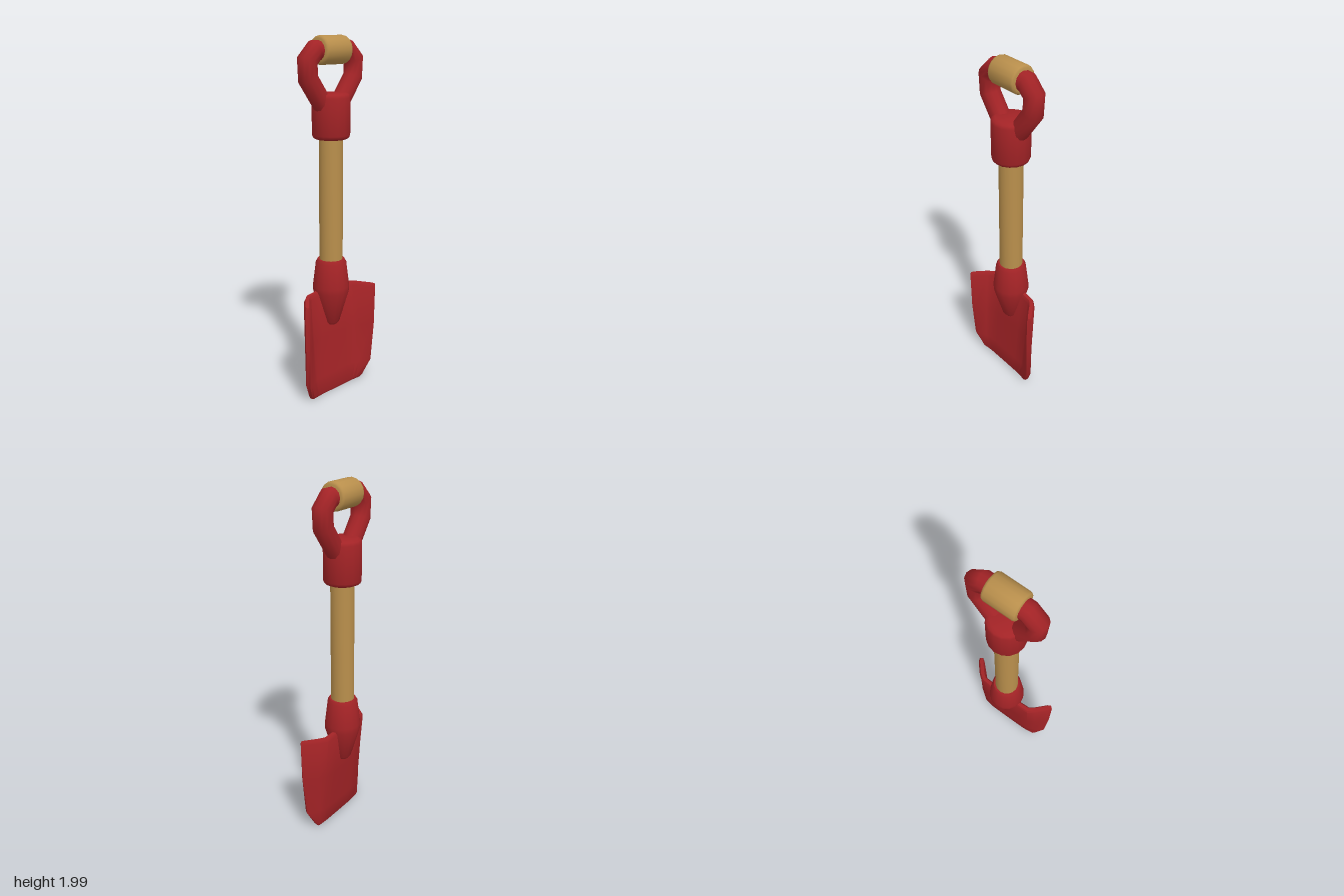
import * as THREE from 'three';
import { toCreasedNormals } from 'three/addons/utils/BufferGeometryUtils.js';

const AXIS_Z = -0.007;

// Skins a stack of closed rings; extra holds additional triangles such as caps.
function skin(rings, extra = []) {
  const n = rings[0].length, index = [];
  for (let j = 0; j < rings.length - 1; j++) {
    for (let k = 0; k < n; k++) {
      const a = j * n + k, b = j * n + (k + 1) % n;
      index.push(a, b, b + n, a, b + n, a + n);
    }
  }
  const geo = new THREE.BufferGeometry();
  geo.setAttribute('position', new THREE.Float32BufferAttribute(rings.flat(2), 3));
  geo.setIndex([...index, ...extra]);
  geo.computeVertexNormals();
  return geo;
}

// Turned part from [radius, height] pairs, listed upwards.
function turned(profile, sides = 16) {
  const geo = new THREE.LatheGeometry(profile.map(([r, y]) => new THREE.Vector2(r, y)), sides);
  return toCreasedNormals(geo, 0.9);
}

// Round bar along a path in the xy plane, with mitred bends.
function bar(path, radius, sides = 12) {
  const pts = path.map(([x, y]) => new THREE.Vector2(x, y));
  const rings = pts.map((p, i) => {
    const a = p.clone().sub(pts[i - 1] ?? p), b = (pts[i + 1] ?? p).clone().sub(p);
    a.normalize();
    b.normalize();
    const d = a.clone().add(b).normalize();
    const stretch = radius / d.dot(i ? a : b);
    return Array.from({ length: sides }, (_, k) => {
      const t = k / sides * Math.PI * 2, m = Math.cos(t) * stretch;
      return [p.x - d.y * m, p.y + d.x * m, Math.sin(t) * radius];
    });
  });
  return skin(rings);
}

// Curved blade with upturned sides and a softened rim.
function bladeGeometry() {
  // Half cross-section: [fraction of width, fraction of depth]
  const half = [[0, 0], [0.35, 0.01], [0.62, 0.06], [0.74, 0.28], [0.95, 0.85], [1, 1]];
  const section = [...half.slice(1).reverse().map(([s, h]) => [-s, h]), ...half];
  // Rows upwards: height, half width, centre z, side depth, corner drop, thickness
  const rows = [
    [0.01, 0.195, 0.031, 0.006, 0, 0.010],
    [0.025, 0.205, 0.030, 0.012, 0, 0.018],
    [0.12, 0.25, 0.020, 0.052, 0, 0.018],
    [0.35, 0.262, 0.000, 0.086, 0, 0.018],
    [0.605, 0.266, -0.021, 0.109, 0.02, 0.018],
    [0.622, 0.264, -0.022, 0.108, 0.022, 0.010],
  ];
  const n = section.length;
  const rings = rows.map(([y, w, z, depth, drop, thick]) => {
    const mid = section.map(([s, h]) => new THREE.Vector2(s * w, z + h * depth));
    const side = (dir) => mid.map((p, i) => {
      const d = mid[Math.min(i + 1, n - 1)].clone().sub(mid[Math.max(i - 1, 0)]).normalize();
      const t = dir * thick * (i === 0 || i === n - 1 ? 0.6 : 1);
      return [p.x - d.y * t, y - drop * section[i][0] ** 2, p.y + d.x * t];
    });
    return [...side(1), ...side(-1).reverse()];
  });
  // Bottom and top rims
  const caps = [], top = (rows.length - 1) * 2 * n;
  for (let i = 0; i < n - 1; i++) {
    const f = i, g = i + 1, bg = 2 * n - 2 - i, bf = 2 * n - 1 - i;
    caps.push(f, bg, g, f, bf, bg);
    caps.push(top + f, top + g, top + bg, top + f, top + bg, top + bf);
  }
  return toCreasedNormals(skin(rings, caps), 0.7);
}

export function createModel() {
  const model = new THREE.Group();
  model.name = 'shovel';
  const red = new THREE.MeshStandardMaterial({ name: 'red paint', color: 0xa32326 });
  const wood = new THREE.MeshStandardMaterial({ name: 'wood', color: 0xb98f4c });

  function add(name, geometry, material, y = 0, z = AXIS_Z) {
    const mesh = new THREE.Mesh(geometry, material);
    mesh.name = name;
    mesh.position.set(0, y, z);
    model.add(mesh);
    return mesh;
  }

  // Blade and the tapered socket that joins it to the shaft
  add('blade', bladeGeometry(), red, 0, 0);
  add('socket', turned([
    [0, 0.407], [0.035, 0.407], [0.049, 0.425], [0.102, 0.61], [0.102, 0.64],
    [0.085, 0.78], [0.075, 0.797], [0, 0.797],
  ]), red);

  // Shaft
  add('shaft', turned([[0.065, 0.75], [0.065, 1.5]]), wood);

  // Collar under the handle
  add('collar', turned([
    [0, 1.467], [0.08, 1.467], [0.096, 1.474], [0.102, 1.49],
    [0.102, 1.685], [0.096, 1.702], [0.08, 1.709], [0, 1.709],
  ]), red);

  // Handle loop
  const right = [[0.03, 1.61], [0.075, 1.67], [0.16, 1.785], [0.165, 1.875], [0.115, 1.924]];
  const left = right.map(([x, y]) => [-x, y]);
  add('handleLoop', bar([...left, ...right.reverse()], 0.052), red);

  // Wooden grip across the top
  const grip = add('grip', turned([
    [0, -0.092], [0.06, -0.092], [0.07, -0.088], [0.074, -0.078],
    [0.074, 0.078], [0.07, 0.088], [0.06, 0.092], [0, 0.092],
  ]), wood, 1.926);
  grip.rotation.z = Math.PI / 2;

  return model;
}
